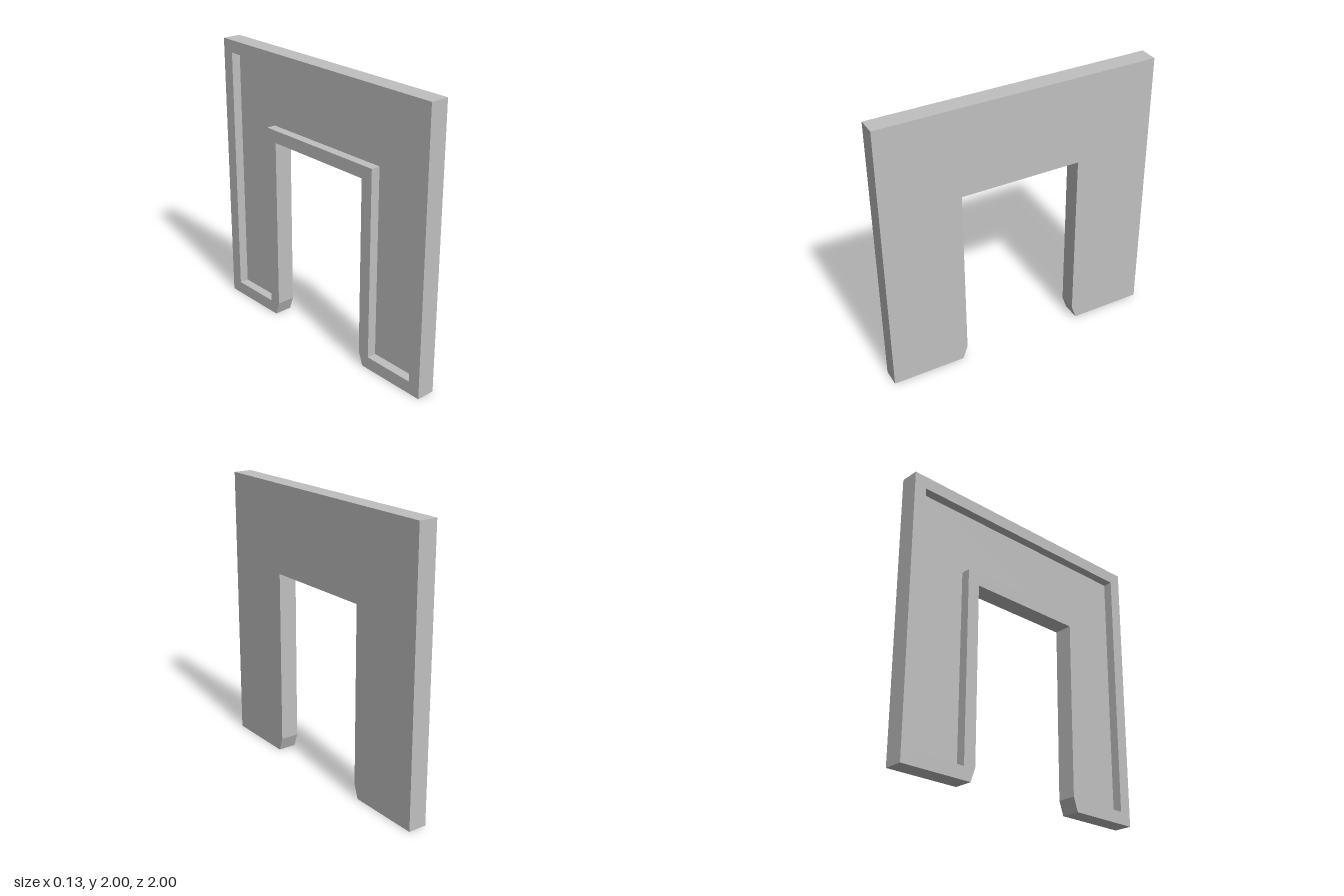
import * as THREE from 'three';

const HALF_LENGTH = 1, HEIGHT = 2, HALF_THICKNESS = 0.067;
const OPENING = 0.435, OPENING_TOP = 1.365; // half width and height of the doorway
const FOOT_IN = 0.47, FOOT_TOP = 0.1;       // chamfer at the foot of each leg
const RIM = 0.09;                           // width of the raised border

// Mirrors one half of an arch outline about the centre line
function mirrored(half) {
  const other = half.map(([u, y]) => [-u, y]).reverse();
  return [...half, ...other].map(([u, y]) => new THREE.Vector2(u, y));
}

const outline = () => mirrored([
  [OPENING, OPENING_TOP], [OPENING, FOOT_TOP], [FOOT_IN, 0],
  [HALF_LENGTH, 0], [HALF_LENGTH, HEIGHT],
]);

const recess = () => mirrored([
  [OPENING + RIM, OPENING_TOP + RIM], [OPENING + RIM, RIM],
  [HALF_LENGTH - RIM, RIM], [HALF_LENGTH - RIM, HEIGHT - RIM],
]);

// Extrudes a shape through the wall thickness, starting at x
function slab(name, shape, x, material) {
  const geometry = new THREE.ExtrudeGeometry(shape, { depth: HALF_THICKNESS, bevelEnabled: false });
  geometry.rotateY(Math.PI / 2);
  geometry.translate(x, 0, 0);
  const mesh = new THREE.Mesh(geometry, material);
  mesh.name = name;
  return mesh;
}

export function createModel() {
  const group = new THREE.Group();
  group.name = 'doorwayWall';
  const grey = new THREE.MeshStandardMaterial({ color: 0xc0c0c0 });
  grey.name = 'light grey';

  // Plain wall panel on the +x side
  group.add(slab('wallPanel', new THREE.Shape(outline()), 0, grey));

  // Raised border around the sunken panel on the -x side
  const rim = new THREE.Shape(outline());
  rim.holes.push(new THREE.Path(recess()));
  group.add(slab('raisedBorder', rim, -HALF_THICKNESS, grey));

  return group;
}
